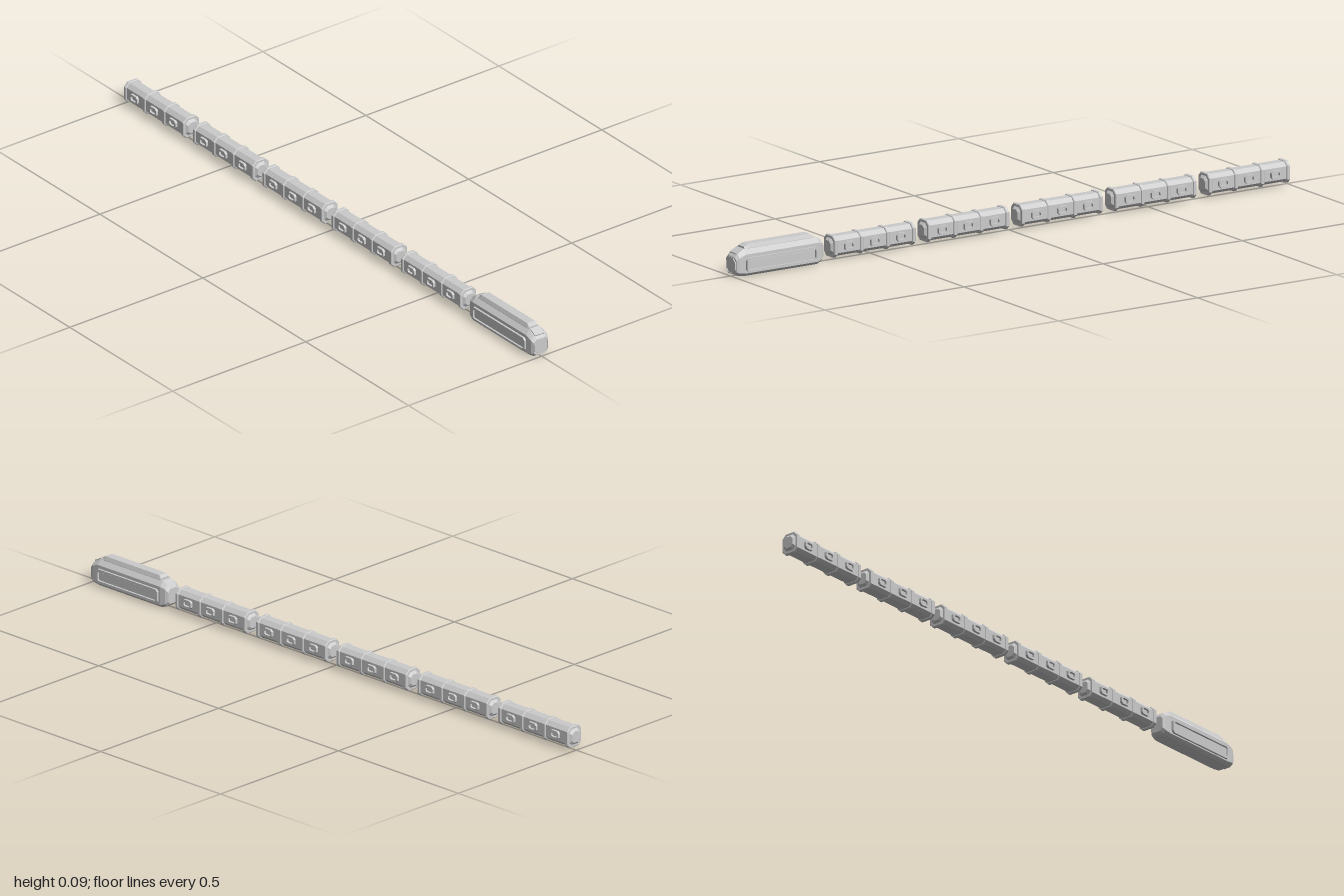
import * as THREE from 'three';

const grey = new THREE.MeshStandardMaterial({ color: 0xcccccc, flatShading: true });

function add(parent, name, geometry, x = 0, y = 0, z = 0) {
  const mesh = new THREE.Mesh(geometry, grey);
  mesh.name = name;
  mesh.position.set(x, y, z);
  parent.add(mesh);
  return mesh;
}

// Chamfered eight-sided cross-sections joined along x.
// Each section: [x, halfWidth, bottom, top, topInset, topDrop, bottomChamfer]
function loft(sections) {
  const pos = [], index = [], n = 8;
  for (const [x, w, y0, y1, ti, td, b] of sections) {
    const half = [[w - ti, y1], [w, y1 - td], [w, y0 + b], [w - b, y0]];
    const ring = [...half, ...half.slice().reverse().map(([z, y]) => [-z, y])];
    for (const [z, y] of ring) pos.push(x, y, z);
  }
  const last = (sections.length - 1) * n;
  for (let s = 0; s < last; s += n) {
    for (let i = 0; i < n; i++) {
      const j = (i + 1) % n;
      index.push(s + i, s + j, s + n + j, s + i, s + n + j, s + n + i);
    }
  }
  for (let i = 1; i < n - 1; i++) {
    index.push(0, i + 1, i, last, last + i, last + i + 1);
  }
  const g = new THREE.BufferGeometry();
  g.setAttribute('position', new THREE.Float32BufferAttribute(pos, 3));
  g.setIndex(index);
  return g.toNonIndexed();
}

// Rectangle with cut corners, as a shape or a hole.
function cutRect(w, h, c, Type = THREE.Shape) {
  const a = w / 2, b = h / 2;
  return new Type([[a - c, -b], [a, -b + c], [a, b - c], [a - c, b],
    [-a + c, b], [-a, b - c], [-a, -b + c], [-a + c, -b]]
    .map(([x, y]) => new THREE.Vector2(x, y)));
}

function frame(w, h, border, c, depth) {
  const shape = cutRect(w, h, c);
  shape.holes.push(cutRect(w - 2 * border, h - 2 * border, c * 0.6, THREE.Path));
  return new THREE.ExtrudeGeometry(shape, { depth, bevelEnabled: false });
}

// A framed panel on both long sides.
function sidePanels(parent, name, x, y, z, w, h, border, depth, inner) {
  for (const side of [1, -1]) {
    const panel = new THREE.Group();
    panel.name = name;
    panel.position.set(x, y, z * side);
    if (side < 0) panel.rotation.y = Math.PI;
    add(panel, 'panelFrame', frame(w, h, border, border, depth));
    const gap = border * 2 + 0.004;
    add(panel, 'panelCentre', new THREE.BoxGeometry(w - gap, h - gap, inner), 0, 0, inner / 2);
    parent.add(panel);
  }
}

function makeCar(x) {
  const car = new THREE.Group();
  car.name = 'passengerCar';
  car.position.x = x;

  // Body with tapered ends
  add(car, 'carBody', loft([
    [-0.153, 0.016, 0.025, 0.06, 0.008, 0.008, 0.008],
    [-0.141, 0.026, 0.013, 0.073, 0.012, 0.012, 0.01],
    [0.141, 0.026, 0.013, 0.073, 0.012, 0.012, 0.01],
    [0.153, 0.016, 0.025, 0.06, 0.008, 0.008, 0.008],
  ]));

  // Hoops between the sections and at both ends
  for (const rx of [-0.14, -0.047, 0.047, 0.14]) {
    add(car, 'hoop', loft([-0.006, -0.004, 0.004, 0.006].map((d) => {
      const e = Math.abs(d) > 0.005 ? 0 : 0.002;
      return [rx + d, 0.028 + e, 0.011 - e, 0.074 + e, 0.013, 0.013, 0.011];
    })));
  }

  // Three windows on each side
  for (const wx of [-0.0935, 0, 0.0935]) {
    sidePanels(car, 'window', wx, 0.042, 0.025, 0.036, 0.026, 0.006, 0.009, 0.004);
  }
  return car;
}

function makeLocomotive(x) {
  const loco = new THREE.Group();
  loco.name = 'locomotive';
  loco.position.x = x;

  // Hull with rounded tail and sloped nose
  add(loco, 'hull', loft([
    [-0.16, 0.022, 0.014, 0.062, 0.009, 0.01, 0.009],
    [-0.152, 0.028, 0.006, 0.074, 0.012, 0.012, 0.009],
    [-0.135, 0.032, 0, 0.082, 0.014, 0.015, 0.009],
    [0.125, 0.032, 0, 0.082, 0.014, 0.015, 0.009],
    [0.148, 0.031, 0.003, 0.07, 0.012, 0.012, 0.009],
    [0.157, 0.027, 0.008, 0.06, 0.01, 0.01, 0.009],
  ]));

  // Raised roof spine
  add(loco, 'roofSpine', loft([
    [-0.125, 0.018, 0.078, 0.087, 0.004, 0.004, 0.001],
    [-0.115, 0.019, 0.078, 0.094, 0.005, 0.012, 0.001],
    [0.108, 0.019, 0.078, 0.094, 0.005, 0.012, 0.001],
    [0.122, 0.018, 0.076, 0.087, 0.004, 0.004, 0.001],
  ]));

  // Windscreen on the slope of the nose
  const screen = add(loco, 'windscreen', new THREE.BoxGeometry(0.028, 0.005, 0.034), 0.138, 0.0755, 0);
  screen.rotation.z = -0.48;

  // Eight-sided nose plate and tail plate
  const nose = add(loco, 'nosePlate', frame(0.05, 0.05, 0.003, 0.014, 0.004), 0.156, 0.033, 0);
  nose.rotation.y = Math.PI / 2;
  add(loco, 'noseCentre', loft([
    [0.154, 0.022, 0.011, 0.055, 0.012, 0.012, 0.012],
    [0.158, 0.022, 0.011, 0.055, 0.012, 0.012, 0.012],
  ]));

  // Long framed panel on each flank
  sidePanels(loco, 'flankPanel', -0.002, 0.035, 0.031, 0.255, 0.044, 0.007, 0.0075, 0.004);
  return loco;
}

export function createModel() {
  const train = new THREE.Group();
  train.name = 'train';
  for (let i = 0; i < 5; i++) train.add(makeCar(-0.847 + i * 0.3365));
  train.add(makeLocomotive(0.84));
  return train;
}
